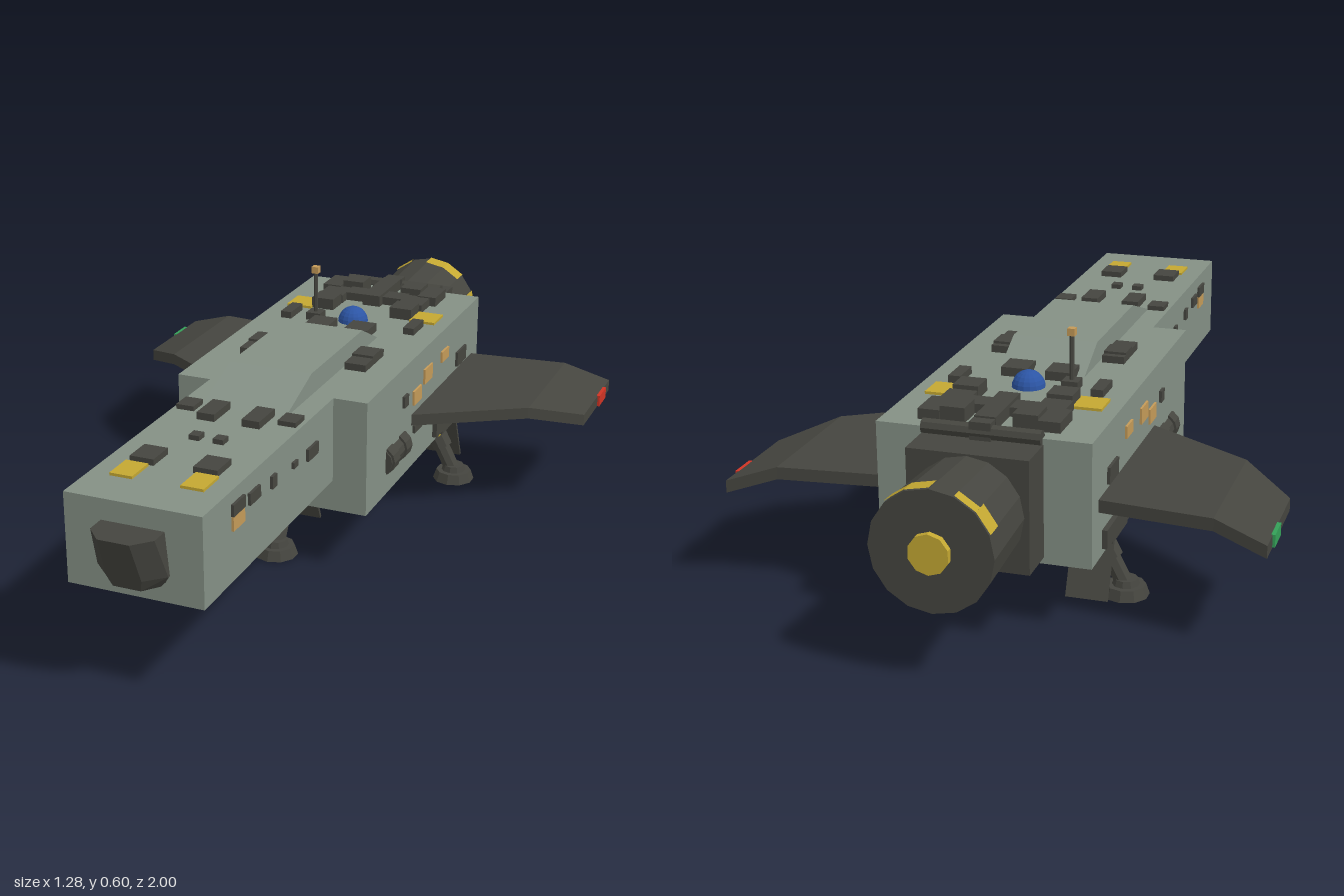
import * as THREE from 'three';

const mat = (name, color) => {
  const m = new THREE.MeshStandardMaterial({ color });
  m.name = name;
  m.flatShading = true;
  return m;
};

export function createModel() {
  const root = new THREE.Group();
  root.name = 'spacecraft';
  const hull = mat('hull grey', 0x849085);
  const dark = mat('dark metal', 0x45453f);
  const gold = mat('gold', 0xc4a832);
  const tan = mat('tan panel', 0xc49a58);
  const blue = mat('blue dome', 0x2c55a5);
  const red = mat('red light', 0xd03424);
  const green = mat('green light', 0x34a058);

  const add = (name, geo, m, x = 0, y = 0, z = 0) => {
    const mesh = new THREE.Mesh(geo, m);
    mesh.name = name;
    mesh.position.set(x, y, z);
    root.add(mesh);
    return mesh;
  };
  const box = (name, m, x, y, z, w, h, d) => add(name, new THREE.BoxGeometry(w, h, d), m, x, y, z);
  // cylinder lying along z, r1 at the front end
  const tubeZ = (name, m, x, y, z, r1, r2, len, sides = 12) =>
    add(name, new THREE.CylinderGeometry(r1, r2, len, sides).rotateX(Math.PI / 2), m, x, y, z);
  // strut between two points
  const strut = (name, m, a, b, r) => {
    const p = new THREE.Vector3(...a), q = new THREE.Vector3(...b);
    const mesh = add(name, new THREE.CylinderGeometry(r, r, p.distanceTo(q), 8), m);
    mesh.position.copy(p).add(q).multiplyScalar(0.5);
    mesh.quaternion.setFromUnitVectors(new THREE.Vector3(0, 1, 0), q.sub(p).normalize());
    return mesh;
  };
  // closed solid through equal rings of points
  const loft = (rings, flip = false) => {
    const pos = [];
    const tri = (a, b, c) => pos.push(...a, ...(flip ? c : b), ...(flip ? b : c));
    const n = rings[0].length;
    for (let k = 0; k + 1 < rings.length; k++) {
      for (let i = 0; i < n; i++) {
        const j = (i + 1) % n, r = rings[k], s = rings[k + 1];
        tri(r[i], r[j], s[j]);
        tri(r[i], s[j], s[i]);
      }
    }
    const first = rings[0], last = rings[rings.length - 1];
    for (let i = 1; i + 1 < n; i++) {
      tri(last[0], last[i], last[i + 1]);
      tri(first[0], first[i + 1], first[i]);
    }
    const g = new THREE.BufferGeometry();
    g.setAttribute('position', new THREE.Float32BufferAttribute(pos, 3));
    g.computeVertexNormals();
    return g;
  };

  // hull blocks
  box('mainBody', hull, 0, 0.3075, -0.23, 0.5, 0.295, 0.87);
  box('noseSection', hull, 0, 0.3475, 0.555, 0.326, 0.215, 0.72);

  // dorsal hump with sloped ends
  const profile = new THREE.Shape();
  [[-0.38, 0.45], [-0.205, 0.51], [0.13, 0.51], [0.25, 0.45]].forEach(([u, v], i) =>
    i ? profile.lineTo(u, v) : profile.moveTo(u, v));
  const hump = new THREE.ExtrudeGeometry(profile, { depth: 0.214, bevelEnabled: false });
  hump.translate(0, 0, -0.107).rotateY(Math.PI / 2);
  add('dorsalHump', hump, hull);

  // faceted cockpit window
  const pane = (y, w, zf) => [[-w, y, 0.9], [-w, y, zf - 0.04], [-w * 0.5, y, zf],
    [w * 0.5, y, zf], [w, y, zf - 0.04], [w, y, 0.9]];
  add('cockpitWindow', loft([pane(0.275, 0.066, 0.95), pane(0.305, 0.084, 0.962), pane(0.405, 0.075, 1)]), dark);

  // engine
  box('engineMount', dark, 0, 0.308, -0.71, 0.28, 0.265, 0.11);
  const bar = add('engineHinge', new THREE.CylinderGeometry(0.018, 0.018, 0.276, 8), dark, 0, 0.457, -0.665);
  bar.rotation.z = Math.PI / 2;
  box('hingeClamp', dark, 0, 0.46, -0.665, 0.05, 0.045, 0.03);
  tubeZ('engine', dark, 0, 0.308, -0.865, 0.128, 0.139, 0.24, 16);
  tubeZ('engineCap', gold, 0, 0.308, -0.99, 0.046, 0.046, 0.02, 10);
  const facet = Math.PI / 8;
  [[0, 1, 0.05], [2, 1, 0.03], [4, 1, 0.05], [6, 2, 0.045], [9, 1, 0.03], [10, 1, 0.05], [13, 1, 0.05], [15, 1, 0.03]]
    .forEach(([start, n, len]) => {
      const g = new THREE.CylinderGeometry(0.14, 0.142, len, n, 1, true, start * facet, n * facet);
      add('engineMarking', g.rotateX(Math.PI / 2), gold, 0, 0.308, -0.984 + len / 2);
    });

  for (const s of [1, -1]) {
    // cranked wing: span, front z, rear z, underside y
    const ring = ([x, f, r, y]) => [[s * x, y, f], [s * x, y, r], [s * x, y + 0.03, r], [s * x, y + 0.03, f]];
    add('wing', loft([[0.24, -0.11, -0.612, 0.275], [0.513, -0.28, -0.64, 0.275]].map(ring), s < 0), dark);
    add('wingTip', loft([[0.513, -0.28, -0.64, 0.275], [0.635, -0.385, -0.66, 0.235]].map(ring), s < 0), dark);
    box('navigationLight', s > 0 ? red : green, s * 0.632, 0.251, -0.565, 0.018, 0.03, 0.07);

    // side equipment
    tubeZ('sidePod', dark, s * 0.235, 0.247, 0, 0.032, 0.032, 0.14);
    for (const z of [-0.045, 0.045]) tubeZ('sidePodBand', dark, s * 0.235, 0.247, z, 0.038, 0.038, 0.04);
    box('sideRail', dark, s * 0.25, 0.198, -0.437, 0.025, 0.045, 0.295);

    // side panels: z, y, length, height
    [[-0.06, 0.365, 0.03, 0.03], [-0.16, 0.26, 0.065, 0.02], [-0.507, 0.335, 0.075, 0.04]]
      .forEach(([z, y, d, h]) => box('sidePanel', dark, s * 0.251, y, z, 0.012, h, d));
    [[-0.15, 0.348, 0.058, 0.038], [-0.232, 0.378, 0.06, 0.04], [-0.368, 0.385, 0.055, 0.03]]
      .forEach(([z, y, d, h]) => box('tanPanel', tan, s * 0.251, y, z, 0.009, h, d));
    [[0.75, 0.41, 0.06, 0.028], [0.668, 0.4, 0.055, 0.028], [0.565, 0.39, 0.025, 0.03],
      [0.445, 0.382, 0.025, 0.015], [0.342, 0.373, 0.06, 0.03]]
      .forEach(([z, y, d, h]) => box('nosePanel', dark, s * 0.164, y, z, 0.012, h, d));
    box('noseTanPanel', tan, s * 0.164, 0.378, 0.75, 0.009, 0.033, 0.058);

    // roof blocks: x, z, width, length, height
    [[0.077, 0.69, 0.058, 0.07, 0.015], [0.03, 0.55, 0.026, 0.028, 0.012], [0.057, 0.405, 0.045, 0.088, 0.018],
      [0.13, 0.383, 0.045, 0.052, 0.012], [0.143, -0.052, 0.056, 0.13, 0.018], [0.143, -0.07, 0.056, 0.06, 0.024],
      [0.175, -0.33, 0.03, 0.08, 0.018], [0.055, -0.25, 0.065, 0.07, 0.022], [0.113, -0.43, 0.062, 0.062, 0.03],
      [0.115, -0.505, 0.068, 0.075, 0.022], [0.085, -0.59, 0.058, 0.065, 0.035], [0.14, -0.58, 0.052, 0.09, 0.025]]
      .forEach(([x, z, w, d, h]) => box('roofBlock', dark, s * x, 0.452 + h / 2, z, w, h + 0.006, d));
    box('noseRoofPlate', gold, s * 0.085, 0.457, 0.768, 0.055, 0.009, 0.075);
    box('roofPlate', gold, s * 0.178, 0.457, -0.425, 0.07, 0.009, 0.075);

    // gun under the nose
    tubeZ('gunBarrel', dark, s * 0.117, 0.215, 0.565, 0.016, 0.016, 0.25, 8);
    tubeZ('gunTip', gold, s * 0.117, 0.215, 0.698, 0.018, 0.018, 0.022, 8);
    box('gunBracket', dark, s * 0.117, 0.234, 0.518, 0.025, 0.018, 0.055);
  }

  // central roof equipment
  box('roofSpine', dark, 0, 0.465, -0.56, 0.05, 0.04, 0.17);
  box('roofCrossPlate', dark, 0, 0.462, -0.525, 0.17, 0.03, 0.055);
  add('sensorDome', new THREE.SphereGeometry(0.04, 16, 12), blue, 0, 0.455, -0.34);
  box('antennaBase', dark, -0.1, 0.463, -0.32, 0.04, 0.025, 0.04);
  strut('antennaMast', dark, [-0.1, 0.46, -0.32], [-0.1, 0.59, -0.32], 0.006);
  box('antennaTip', tan, -0.1, 0.592, -0.32, 0.018, 0.018, 0.018);

  // landing gear: top x, top z, foot x, foot z, door centre x, door width
  [[0, 0.1, 0, 0.18, 0, 0.09], [0.2, -0.435, 0.267, -0.435, 0.202, 0.1], [-0.2, -0.435, -0.267, -0.435, -0.202, 0.1]]
    .forEach(([tx, tz, fx, fz, dx, dw]) => {
      box('gearWell', dark, dx, 0.158, tz, dw, 0.012, 0.13);
      for (const o of [-0.034, 0, 0.034]) box('gearMount', gold, tx, 0.147, tz + o, 0.075, 0.022, 0.022);
      const mx = (tx + fx) / 2, mz = (tz + fz) / 2;
      strut('upperLeg', dark, [tx, 0.155, tz], [mx, 0.09, mz], 0.028);
      strut('lowerLeg', dark, [tx, 0.15, tz], [fx, 0.02, fz], 0.022);
      add('foot', new THREE.CylinderGeometry(0.047, 0.056, 0.026, 10), dark, fx, 0.013, fz);
      add('ankle', new THREE.CylinderGeometry(0.028, 0.034, 0.018, 10), dark, fx, 0.032, fz);
      const door = box('gearDoor', dark, dx, 0.09, tz - 0.08, dw, 0.14, 0.008);
      door.rotation.x = 0.4;
    });

  // belly vents
  for (let i = 0; i < 4; i++) box('bellyVent', gold, 0, 0.15, -0.315 - i * 0.05, 0.075, 0.024, 0.036);

  return root;
}
